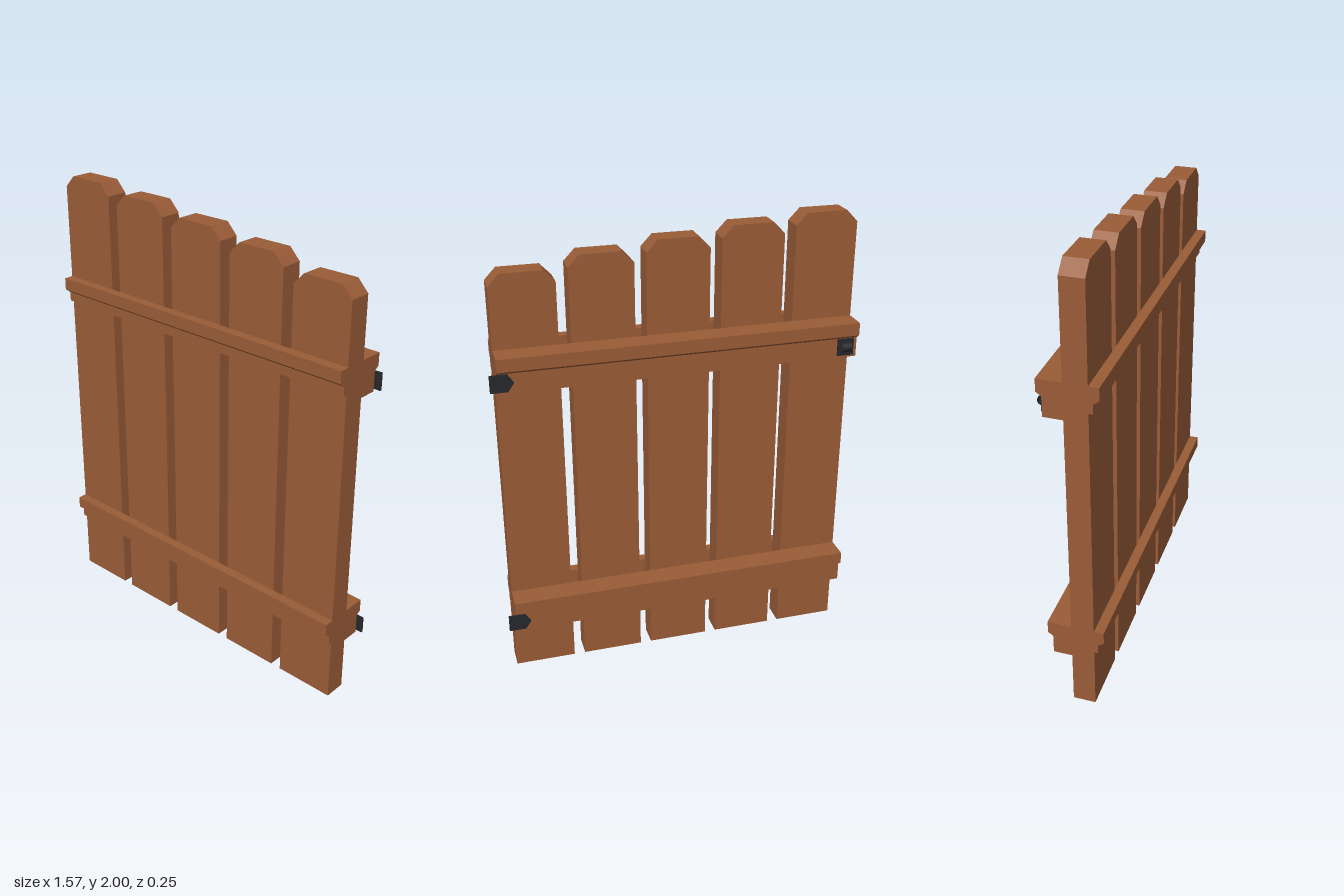
import * as THREE from 'three';

const wood = new THREE.MeshStandardMaterial({ color: 0x9a5c37 });
wood.name = 'brown wood';
const iron = new THREE.MeshStandardMaterial({ color: 0x26282b, side: THREE.DoubleSide });
iron.name = 'black iron';

const LEFT = 0.752, RIGHT = -0.786; // ends of the rails in x
const PLANK_FRONT = 0.083, PLANK_BACK = -0.014;

function extrude(points, depth) {
  const shape = new THREE.Shape(points.map(([x, y]) => new THREE.Vector2(x, y)));
  return new THREE.ExtrudeGeometry(shape, { depth, bevelEnabled: false });
}

function add(parent, name, geometry, material) {
  const mesh = new THREE.Mesh(geometry, material);
  mesh.name = name;
  parent.add(mesh);
  return mesh;
}

// Extrudes a [z, y] profile along the full width of the gate
function rail(parent, name, profile) {
  const geometry = extrude(profile.map(([z, y]) => [-z, y]), LEFT - RIGHT);
  geometry.rotateY(Math.PI / 2).translate(RIGHT, 0, 0);
  add(parent, name, geometry, wood);
}

export function createModel() {
  const gate = new THREE.Group();
  gate.name = 'gate';

  // Upright planks with clipped corners, stepping down to the left
  const width = 0.268, clip = 0.048;
  [2, 1.972, 1.938, 1.903, 1.852].forEach((h, i) => {
    const a = RIGHT + i * 0.3175, b = a + width;
    const outline = [[a, 0], [b, 0], [b, h - 0.05], [b - clip, h], [a + clip, h], [a, h - 0.05]];
    const geometry = extrude(outline, PLANK_FRONT - PLANK_BACK).translate(0, 0, PLANK_BACK);
    add(gate, 'plank' + (i + 1), geometry, wood);
  });

  // Two crossbars, each a front and back moulded rail with a hinge
  [['lower', 0.397], ['upper', 1.54]].forEach(([label, top]) => {
    const bar = new THREE.Group();
    bar.name = label + 'Crossbar';
    bar.position.y = top;
    gate.add(bar);

    rail(bar, 'frontRail', [[PLANK_FRONT, 0], [PLANK_FRONT, -0.112], [0.1, -0.112],
      [0.1, -0.071], [0.125, -0.053], [0.125, 0]]);
    rail(bar, 'backRail', [[PLANK_BACK, 0], [-0.117, 0], [-0.117, -0.055],
      [-0.095, -0.07], [-0.095, -0.156], [PLANK_BACK, -0.156]]);

    // Pointed hinge plate reaching past the left end
    const hinge = extrude([[0.685, -0.108], [0.71, -0.145], [0.782, -0.145],
      [0.782, -0.071], [0.71, -0.071]], 0.009).translate(0, 0, -0.104);
    add(bar, 'hinge', hinge, iron);
  });

  // Latch plate with a half-round strap on the upper back rail
  const latch = new THREE.Group();
  latch.name = 'latch';
  latch.position.set(-0.734, 1.432, -0.1);
  gate.add(latch);
  add(latch, 'latchPlate', new THREE.BoxGeometry(0.072, 0.074, 0.008), iron);
  const strap = new THREE.CylinderGeometry(0.021, 0.021, 0.042, 12, 1, true, Math.PI / 2, Math.PI);
  strap.rotateZ(Math.PI / 2).translate(0, 0, -0.004);
  add(latch, 'latchStrap', strap, iron);

  return gate;
}
